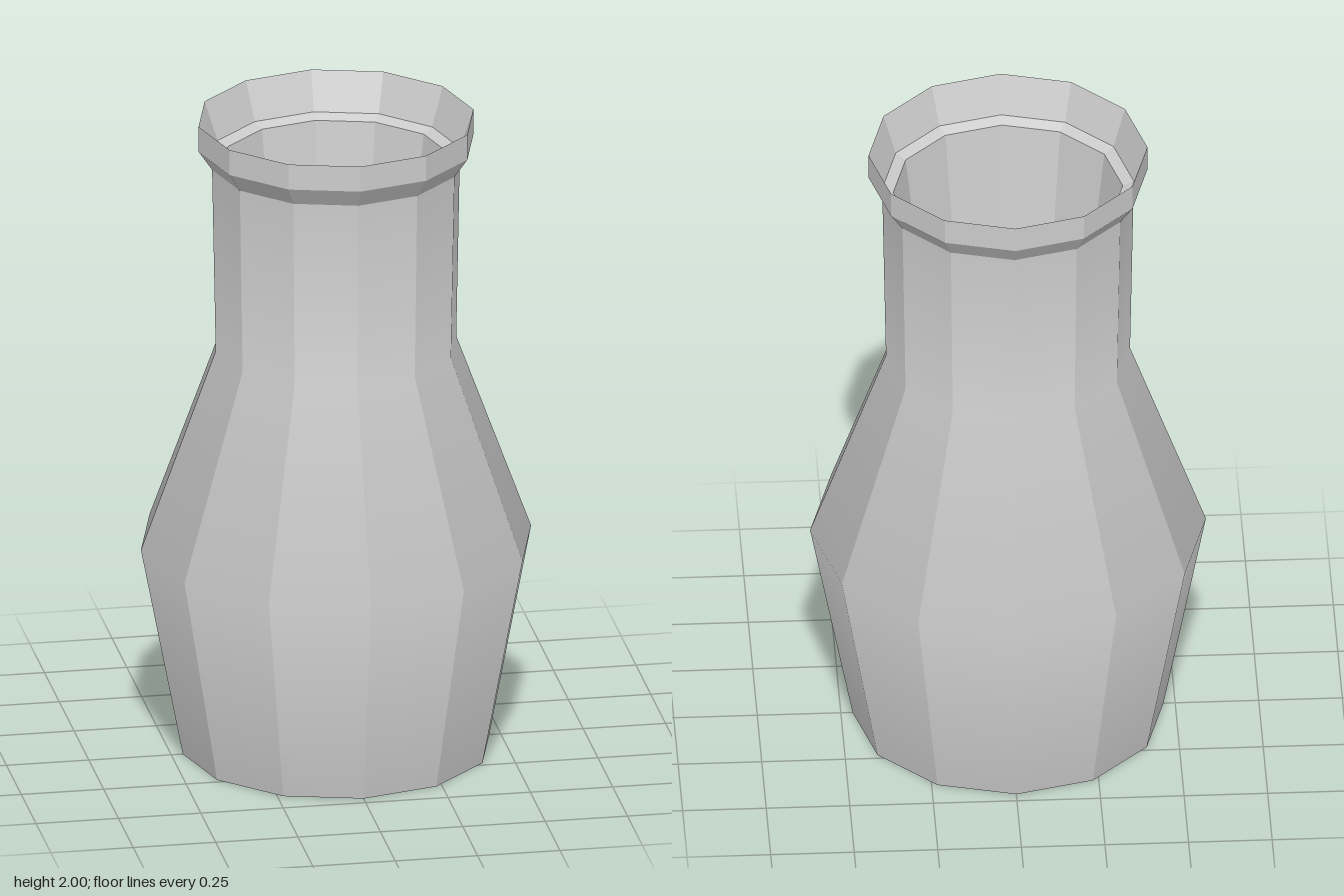
import * as THREE from 'three';

const SIDES = 12;
const material = new THREE.MeshStandardMaterial({ color: 0xcccccc });

// Twelve-sided wall: hard edges between the sides, smooth shading up each side.
function facetedWall(profile) {
  const points = profile.map(([r, y]) => new THREE.Vector2(r, y));
  const smooth = new THREE.LatheGeometry(points, SIDES).toNonIndexed();
  const flat = smooth.clone();
  flat.computeVertexNormals();
  const n = smooth.attributes.normal;
  const f = flat.attributes.normal;
  for (let i = 0; i < n.count; i++) {
    const radial = Math.hypot(n.getX(i), n.getZ(i));
    const azimuth = Math.atan2(f.getX(i), f.getZ(i));
    n.setXYZ(i, radial * Math.sin(azimuth), n.getY(i), radial * Math.cos(azimuth));
  }
  return smooth;
}

function disc(radius, y, up) {
  const g = new THREE.CircleGeometry(radius, SIDES);
  g.rotateX(up ? -Math.PI / 2 : Math.PI / 2);
  return g.translate(0, y, 0);
}

export function createModel() {
  const group = new THREE.Group();
  group.name = 'vase';
  const add = (name, geometry) => {
    const mesh = new THREE.Mesh(geometry, material);
    mesh.name = name;
    group.add(mesh);
  };

  // Outside, from the base up to the lip
  add('base', disc(0.465, 0, false));
  add('body', facetedWall([[0.465, 0], [0.592, 0.66], [0.365, 1.28], [0.376, 1.86]]));
  add('lipFlare', facetedWall([[0.376, 1.86], [0.417, 1.92]]));
  add('lipBand', facetedWall([[0.417, 1.92], [0.417, 2]]));

  // Inside, from the lip down to the floor
  add('lipInside', facetedWall([[0.417, 2], [0.376, 1.88]]));
  add('innerLedge', facetedWall([[0.376, 1.88], [0.343, 1.865]]));
  add('neckInside', facetedWall([[0.343, 1.865], [0.27, 1.28]]));
  add('innerFloor', disc(0.27, 1.28, true));

  return group;
}
